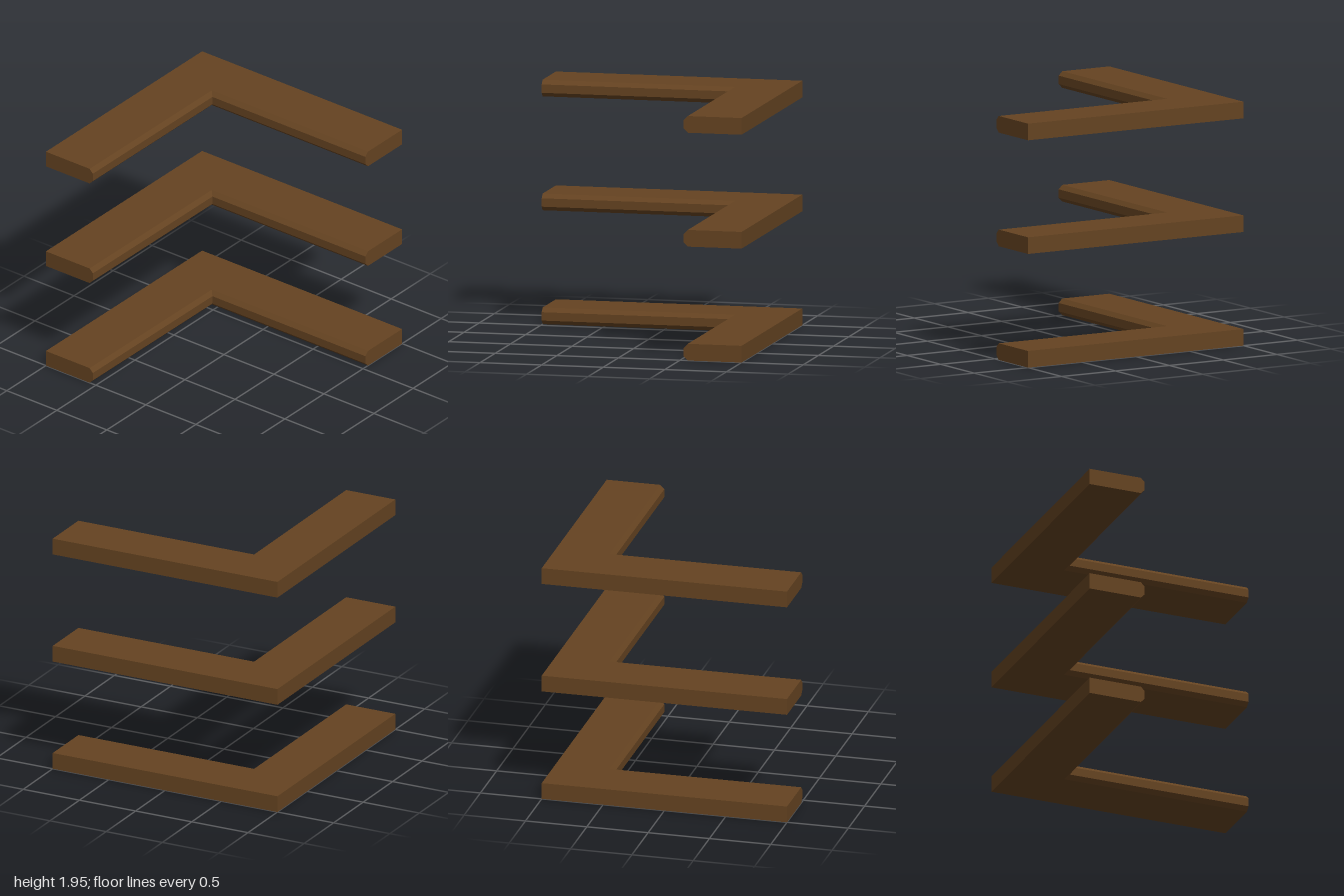
import * as THREE from 'three';

const THICK = 0.133;
const BEVEL = 0.033;
const INNER = -0.53;

// Cross-section of a shelf arm: [distance across, height], bevelled on the inner edge
const PROFILE = [
  [-1, 0],
  [INNER - BEVEL, 0],
  [INNER, BEVEL],
  [INNER, THICK - BEVEL],
  [INNER - BEVEL, THICK],
  [-1, THICK],
];

// Sweep the profile along the L: right end, mitred corner, front end
function cornerShelfGeometry() {
  const stations = [
    ([d, y]) => [1, y, d],
    ([d, y]) => [d, y, d],
    ([d, y]) => [d, y, 1],
  ].map((place) => PROFILE.map(place));
  const n = PROFILE.length;
  const positions = [];
  const tri = (a, b, c) => positions.push(...a, ...b, ...c);

  // Long faces of both arms
  for (let s = 0; s < 2; s++) {
    const [from, to] = [stations[s], stations[s + 1]];
    for (let i = 0; i < n; i++) {
      const j = (i + 1) % n;
      tri(from[i], from[j], to[i]);
      tri(from[j], to[j], to[i]);
    }
  }
  // End caps
  const [start, , end] = stations;
  for (let i = 1; i < n - 1; i++) {
    tri(start[0], start[i + 1], start[i]);
    tri(end[0], end[i], end[i + 1]);
  }

  const geometry = new THREE.BufferGeometry();
  geometry.setAttribute('position', new THREE.Float32BufferAttribute(positions, 3));
  geometry.computeVertexNormals();
  return geometry;
}

export function createModel() {
  const group = new THREE.Group();
  group.name = 'cornerShelves';
  const wood = new THREE.MeshStandardMaterial({ color: 0x654321 });
  wood.name = 'brown wood';

  // Three identical shelves stacked with even gaps
  const geometry = cornerShelfGeometry();
  ['lowerShelf', 'middleShelf', 'upperShelf'].forEach((name, i) => {
    const shelf = new THREE.Mesh(geometry, wood);
    shelf.name = name;
    shelf.position.y = i * 0.908;
    group.add(shelf);
  });
  return group;
}
